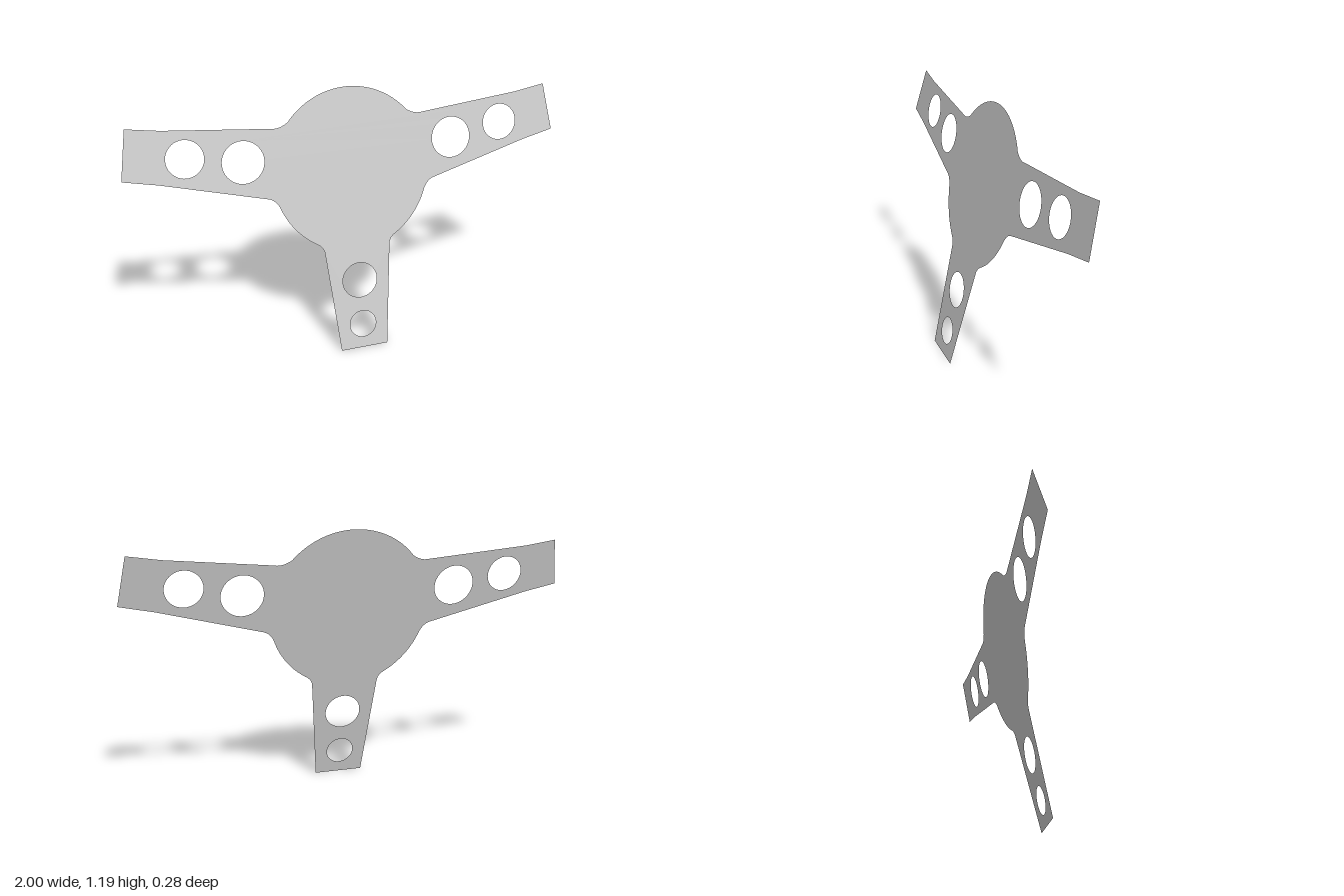
import * as THREE from 'three';

const HUB_Y = 0.823, HUB_R = 0.363;

// Point on the hub circle at an angle in degrees
function onHub(deg) {
  const a = THREE.MathUtils.degToRad(deg);
  return new THREE.Vector2(HUB_R * Math.cos(a), HUB_Y + HUB_R * Math.sin(a));
}

function hubArc(from, to, steps) {
  return Array.from({ length: steps + 1 }, (_, i) => onHub(from + (to - from) * i / steps));
}

// Rounded inner corner between a spoke and the hub
function fillet(a, corner, b) {
  return new THREE.QuadraticBezierCurve(a, corner, b).getPoints(6);
}

export function createModel() {
  const v = (x, y) => new THREE.Vector2(x, y);

  // Left half of the outline, from the foot of the lower spoke to the hub top
  const half = [
    v(0.112, 0),
    ...fillet(v(0.155, 0.468), v(0.158, 0.497), onHub(-58.5)),
    ...hubArc(-58.5, -22.5, 10).slice(1),
    ...fillet(onHub(-22.5), v(0.35, 0.73), v(0.385, 0.742)).slice(1),
    v(0.85, 0.863), v(1, 0.895), v(0.962, 1.107), v(0.818, 1.085),
    ...fillet(v(0.352, 1.042), v(0.315, 1.034), onHub(41)),
    ...hubArc(41, 90, 16).slice(1),
  ];
  const mirrored = half.slice(0, -1).reverse().map(p => v(-p.x, p.y));
  const shape = new THREE.Shape([...half, ...mirrored]);

  // Lightening holes, two per spoke
  const holes = [[0, 0.112, 0.063], [0, 0.32, 0.082]];
  for (const s of [-1, 1]) holes.push([s * 0.484, 0.914, 0.093], [s * 0.73, 0.957, 0.082]);
  for (const [x, y, r] of holes) {
    const hole = new THREE.Path();
    hole.absellipse(x, y, r, r * 0.98, 0, Math.PI * 2, true);
    shape.holes.push(hole);
  }

  // Lean the flat sheet backwards
  const geometry = new THREE.ShapeGeometry(shape, 20);
  const pos = geometry.attributes.position;
  for (let i = 0; i < pos.count; i++) pos.setZ(i, 0.138 - 0.233 * pos.getY(i));
  geometry.computeVertexNormals();

  const plate = new THREE.Mesh(geometry,
    new THREE.MeshStandardMaterial({ color: 0xcccccc, side: THREE.DoubleSide }));
  plate.name = 'threeSpokePlate';

  const group = new THREE.Group();
  group.name = 'steeringWheelSpokes';
  group.add(plate);
  return group;
}
